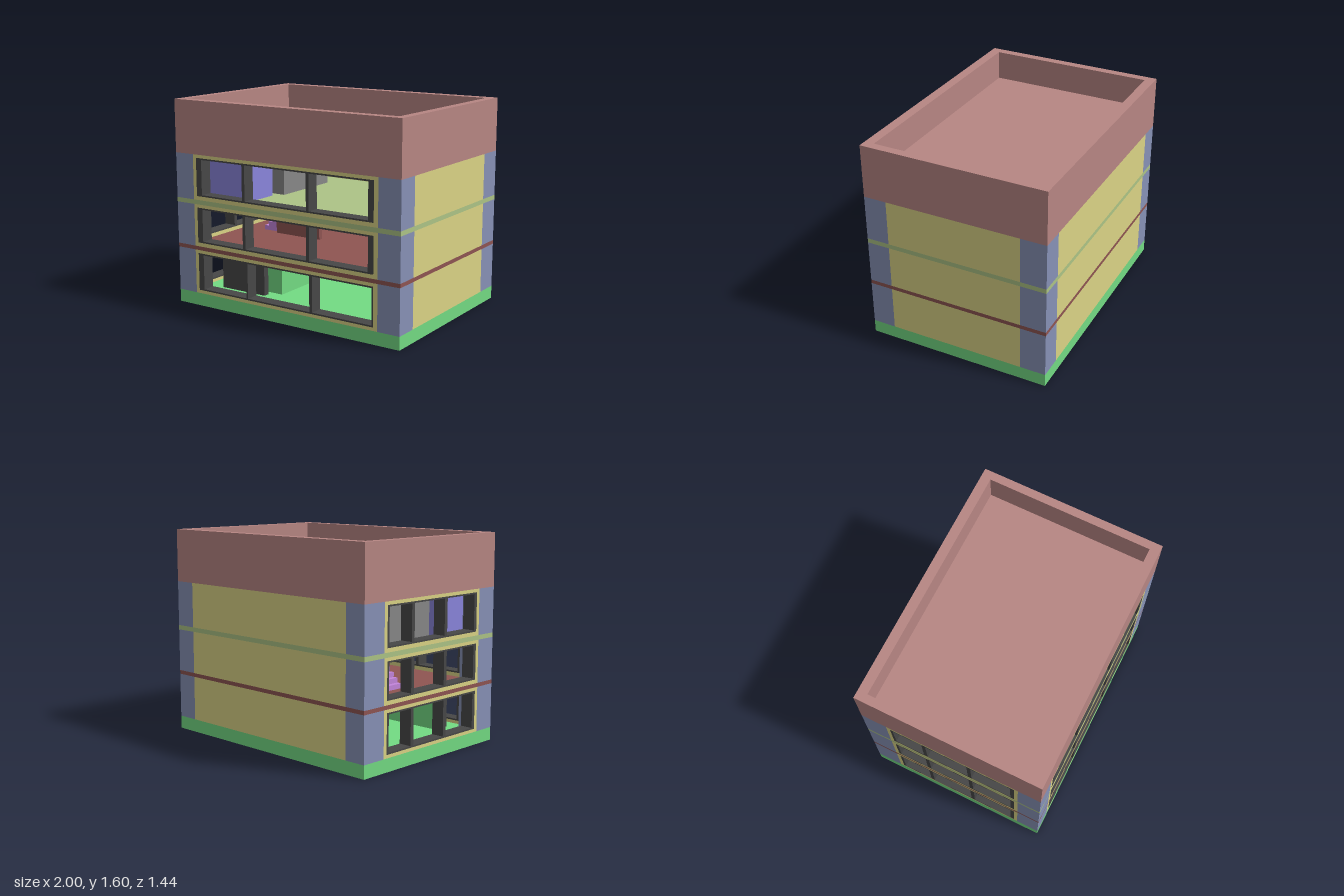
import * as THREE from 'three';

const mat = (color) => new THREE.MeshStandardMaterial({ color });
const M = {
  roof: mat(0xb78683), pillar: mat(0x8791b6), wall: mat(0xdbd485), ground: mat(0x73db83),
  red: mat(0x8f5552), sage: mat(0xadc486), dark: mat(0x474747), blue: mat(0x8a85dc),
  grey: mat(0x888888), stair: mat(0xc485dc),
};

// Box given by its limits on each axis
function block(parent, name, material, [x0, x1], [y0, y1], [z0, z1]) {
  const mesh = new THREE.Mesh(new THREE.BoxGeometry(x1 - x0, y1 - y0, z1 - z0), material);
  mesh.position.set((x0 + x1) / 2, (y0 + y1) / 2, (z0 + z1) / 2);
  mesh.name = name;
  parent.add(mesh);
}

function trace(path, [u0, u1], [v0, v1]) {
  path.moveTo(u0, v0);
  path.lineTo(u1, v0);
  path.lineTo(u1, v1);
  path.lineTo(u0, v1);
  path.closePath();
  return path;
}

// Upright slab with rectangular openings
function panel(parent, name, material, u, v, holes, depth) {
  const shape = trace(new THREE.Shape(), u, v);
  shape.holes = holes.map(([hu, hv]) => trace(new THREE.Path(), hu, hv));
  const mesh = new THREE.Mesh(
    new THREE.ExtrudeGeometry(shape, { depth, bevelEnabled: false }), material);
  mesh.name = name;
  parent.add(mesh);
  return mesh;
}

// Wall with a dark window frame filling its opening
function windowWall(parent, span, storey, win, panes) {
  const [wu, wv] = win;
  panel(parent, 'windowWall', M.wall, span, storey, [win], 0.1);
  const paneV = [wv[0] + 0.012, wv[1] - 0.012];
  panel(parent, 'windowFrame', M.dark, wu, wv, panes.map((p) => [p, paneV]), 0.1);
}

export function createModel() {
  const model = new THREE.Group();
  const X = [-1, 1], Z = [-0.72, 0.72];

  // Floor slabs
  block(model, 'groundSlab', M.ground, X, [0, 0.1], Z);
  block(model, 'firstFloorSlab', M.red, X, [0.445, 0.475], Z);
  block(model, 'secondFloorSlab', M.sage, X, [0.805, 0.84], Z);

  // Flat roof with parapet
  block(model, 'roofDeck', M.roof, X, [1.19, 1.37], Z);
  const parapet = panel(model, 'parapet', M.roof, X, Z, [[[-0.935, 0.935], [-0.645, 0.645]]], 0.23);
  parapet.rotation.x = -Math.PI / 2;
  parapet.position.y = 1.37;

  // Storeys: corner pillars, two plain walls, two window walls
  const front = new THREE.Group();
  front.name = 'frontFacade';
  front.position.z = 0.62;
  const side = new THREE.Group();
  side.name = 'sideFacade';
  side.position.x = -0.9;
  side.rotation.y = -Math.PI / 2;
  model.add(front, side);

  const upper = [[-0.75, -0.36], [-0.335, 0.22], [0.245, 0.74]];
  const storeys = [
    { y: [0.1, 0.445], win: [0.125, 0.42], panes: [[-0.75, -0.335], [-0.32, 0.245], [0.27, 0.773]] },
    { y: [0.475, 0.805], win: [0.505, 0.78], panes: upper },
    { y: [0.84, 1.19], win: [0.87, 1.165], panes: upper },
  ];
  const sidePanes = [[-0.47, -0.235], [-0.205, 0.13], [0.16, 0.48]];
  for (const { y, win, panes } of storeys) {
    for (const px of [[-1, -0.83], [0.82, 1]])
      for (const pz of [[-0.72, -0.52], [0.54, 0.72]])
        block(model, 'cornerPillar', M.pillar, px, y, pz);
    block(model, 'backWall', M.wall, [-0.83, 0.82], y, [-0.72, -0.62]);
    block(model, 'plainSideWall', M.wall, [0.9, 1], y, [-0.52, 0.54]);
    windowWall(front, [-0.83, 0.82], y, [[-0.8, 0.785], win], panes);
    windowWall(side, [-0.52, 0.54], y, [[-0.49, 0.51], win], sidePanes);
  }

  // Ground floor partitions and dark screen
  const [g, f, s] = storeys.map((o) => o.y);
  block(model, 'groundPartition', M.ground, [-0.8, -0.24], g, [0.36, 0.4]);
  block(model, 'groundSidePartition', M.ground, [-0.28, -0.24], g, [-0.62, 0.36]);
  block(model, 'darkScreen', M.dark, [-0.745, -0.335], g, [0.45, 0.5]);

  // First floor partitions and staircase
  block(model, 'stairBackWall', M.red, [-0.8, -0.14], f, [-0.3, -0.26]);
  block(model, 'stairFrontWall', M.red, [-0.56, -0.14], f, [0.0, 0.04]);
  const steps = 9, rise = (f[1] - f[0]) / steps;
  for (let i = 0; i < steps; i++) {
    const x = -0.71 + i * 0.0375;
    block(model, 'stairStep', M.stair, [x, x + 0.0375], [f[0], f[0] + rise * (i + 1)], [-0.26, 0]);
  }

  // Second floor rooms
  block(model, 'blueRoom', M.blue, [-0.85, -0.42], s, [0.27, 0.58]);
  block(model, 'greyRoom', M.grey, [-0.8, -0.36], s, [-0.4, 0.2]);

  return model;
}
